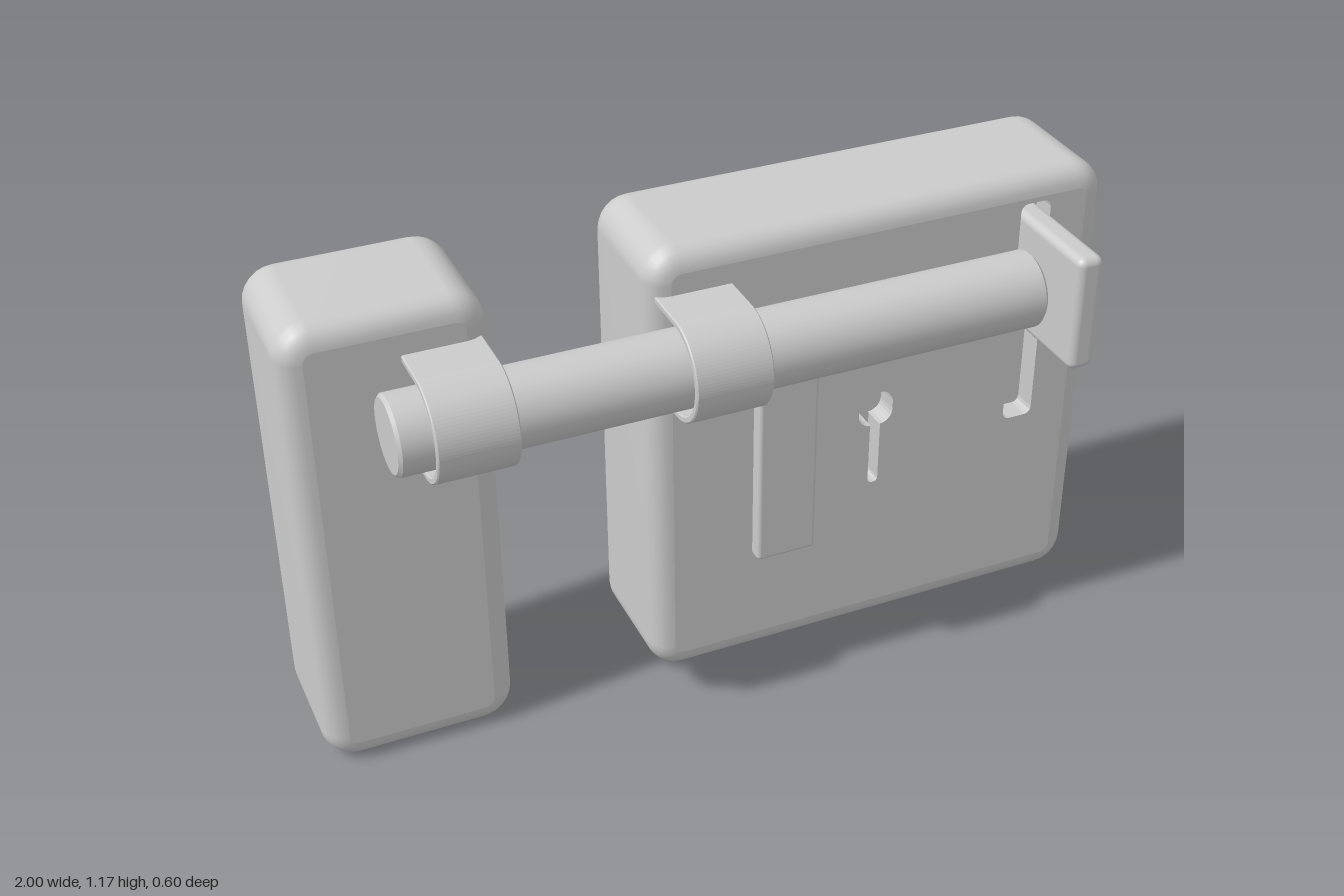
import * as THREE from 'three';
import { mergeGeometries } from 'three/addons/utils/BufferGeometryUtils.js';
import { RoundedBoxGeometry } from 'three/addons/geometries/RoundedBoxGeometry.js';

const grey = new THREE.MeshStandardMaterial({ color: 0xcccccc });
const BACK = -0.3, FRONT = 0.05, HEIGHT = 1.175, RECESS = 0.06;
const BOLT_Y = 0.947, BOLT_Z = 0.15;

// Counter-clockwise outline of a rounded rectangle
function roundedRect(x0, x1, y0, y1, r, steps = 6) {
  const pts = [];
  const corners = [[x1 - r, y1 - r], [x0 + r, y1 - r], [x0 + r, y0 + r], [x1 - r, y0 + r]];
  corners.forEach(([cx, cy], k) => {
    for (let i = 0; i <= steps; i++) {
      const a = (k + i / steps) * Math.PI / 2;
      pts.push(new THREE.Vector2(cx + r * Math.cos(a), cy + r * Math.sin(a)));
    }
  });
  return pts;
}

// Skin between outlines of equal length, each { pts, z }
function loft(rings) {
  const n = rings[0].pts.length, pos = [], index = [];
  for (const { pts, z } of rings) for (const p of pts) pos.push(p.x, p.y, z);
  for (let i = 0; i < rings.length - 1; i++) {
    for (let j = 0; j < n; j++) {
      const a = i * n + j, b = i * n + (j + 1) % n;
      index.push(a, b, b + n, a, b + n, a + n);
    }
  }
  const g = new THREE.BufferGeometry();
  g.setAttribute('position', new THREE.Float32BufferAttribute(pos, 3));
  g.setIndex(index);
  g.computeVertexNormals();
  return g;
}

function flatFace(pts, z, holes = []) {
  const shape = new THREE.Shape(pts);
  shape.holes = holes.map((h) => new THREE.Path(h));
  return new THREE.ShapeGeometry(shape).translate(0, 0, z);
}

// Soft-edged block with optional recesses sunk into its front
function blockGeometry(x0, x1, holes = []) {
  const bevel = 0.055, corner = 0.08, steps = 5, rings = [];
  const ring = (inset, z) => ({
    pts: roundedRect(x0 + inset, x1 - inset, inset, HEIGHT - inset, corner - inset), z,
  });
  for (let i = 0; i <= steps; i++) {
    const a = i / steps * Math.PI / 2;
    rings.push(ring(bevel * (1 - Math.sin(a)), BACK + bevel * (1 - Math.cos(a))));
  }
  for (let i = steps; i >= 0; i--) {
    const a = i / steps * Math.PI / 2;
    rings.push(ring(bevel * (1 - Math.sin(a)), FRONT - bevel * (1 - Math.cos(a))));
  }
  const cx = (x0 + x1) / 2, face = rings[0].pts;
  const back = flatFace(face, 0).translate(-cx, 0, 0).rotateY(Math.PI).translate(cx, 0, BACK);
  const parts = [loft(rings), flatFace(face, FRONT, holes), back];
  for (const h of holes) {
    parts.push(loft([{ pts: h, z: FRONT }, { pts: h, z: FRONT - RECESS }]));
    parts.push(flatFace(h, FRONT - RECESS));
  }
  const flat = parts.map((g) => {
    const s = g.toNonIndexed();
    s.deleteAttribute('uv');
    return s;
  });
  for (const g of flat.slice(1)) g.computeVertexNormals();
  return mergeGeometries(flat);
}

// Keyhole: rounded head with a narrow stem, counter-clockwise
function keyholeOutline() {
  const head = roundedRect(0.362, 0.453, 0.592, 0.683, 0.034);
  const stem = roundedRect(0.394, 0.421, 0.425, 0.6, 0.01, 3);
  // The stem replaces the middle of the head's lower edge
  const left = stem.slice(8, 12), right = stem.slice(12, 16);
  return [
    ...head.slice(0, 21),
    new THREE.Vector2(0.394, 0.592), ...left, ...right, new THREE.Vector2(0.421, 0.592),
    ...head.slice(21),
  ];
}

// U-shaped strap wrapped round the bolt, running back into the block
function strapGeometry(width) {
  const outer = 0.123, inner = 0.106, end = -0.02;
  const s = new THREE.Shape();
  s.moveTo(end, outer);
  s.lineTo(-BOLT_Z, outer);
  s.absarc(-BOLT_Z, 0, outer, Math.PI / 2, Math.PI * 1.5, false);
  s.lineTo(end, -outer);
  s.lineTo(end, -inner);
  s.lineTo(-BOLT_Z, -inner);
  s.absarc(-BOLT_Z, 0, inner, Math.PI * 1.5, Math.PI / 2, true);
  s.lineTo(end, inner);
  s.closePath();
  return new THREE.ExtrudeGeometry(s, {
    depth: width - 0.006, bevelEnabled: true, bevelSize: 0.003, bevelThickness: 0.003,
    bevelOffset: -0.003, bevelSegments: 1, curveSegments: 24,
  }).rotateY(Math.PI / 2).translate(0.003, BOLT_Y, 0);
}

// Bolt rod with chamfered ends, lying along x
function boltGeometry(x0, x1, r) {
  const c = 0.008, half = (x1 - x0) / 2;
  const segments = [
    [[0, -half], [r - c, -half]],
    [[r - c, -half], [r, -half + c]],
    [[r, -half + c], [r, half - c]],
    [[r, half - c], [r - c, half]],
    [[r - c, half], [0, half]],
  ];
  const parts = segments.map((seg) =>
    new THREE.LatheGeometry(seg.map(([a, b]) => new THREE.Vector2(a, b)), 40));
  return mergeGeometries(parts).rotateZ(-Math.PI / 2).translate((x0 + x1) / 2, BOLT_Y, BOLT_Z);
}

function roundedBox(x0, x1, y0, y1, z0, z1, r) {
  return new RoundedBoxGeometry(x1 - x0, y1 - y0, z1 - z0, 3, r)
    .translate((x0 + x1) / 2, (y0 + y1) / 2, (z0 + z1) / 2);
}

export function createModel() {
  const model = new THREE.Group();
  model.name = 'slidingBoltLock';
  const add = (name, geometry) => {
    const mesh = new THREE.Mesh(geometry, grey);
    mesh.name = name;
    model.add(mesh);
    return mesh;
  };

  // Blocks
  const slot = roundedRect(0.768, 0.848, 0.512, 1.108, 0.018, 3);
  add('catchBlock', blockGeometry(-1, -0.535));
  add('lockBlock', blockGeometry(-0.175, 1, [slot, keyholeOutline()]));

  // Bolt with its hanging handle
  add('bolt', boltGeometry(-0.81, 0.742, 0.092));
  add('boltHandle', roundedBox(0.043, 0.193, 0.373, 0.94, 0.13, 0.17, 0.01));

  // Straps holding the bolt
  for (const [name, x] of [['catchStrap', -0.737], ['lockStrap', -0.155]]) {
    add(name, strapGeometry(0.184)).position.x = x;
  }

  // Sliding stop standing in the slot
  add('slotStop', roundedBox(0.777, 0.843, 0.787, 1.08, -0.03, 0.298, 0.02));

  return model;
}
